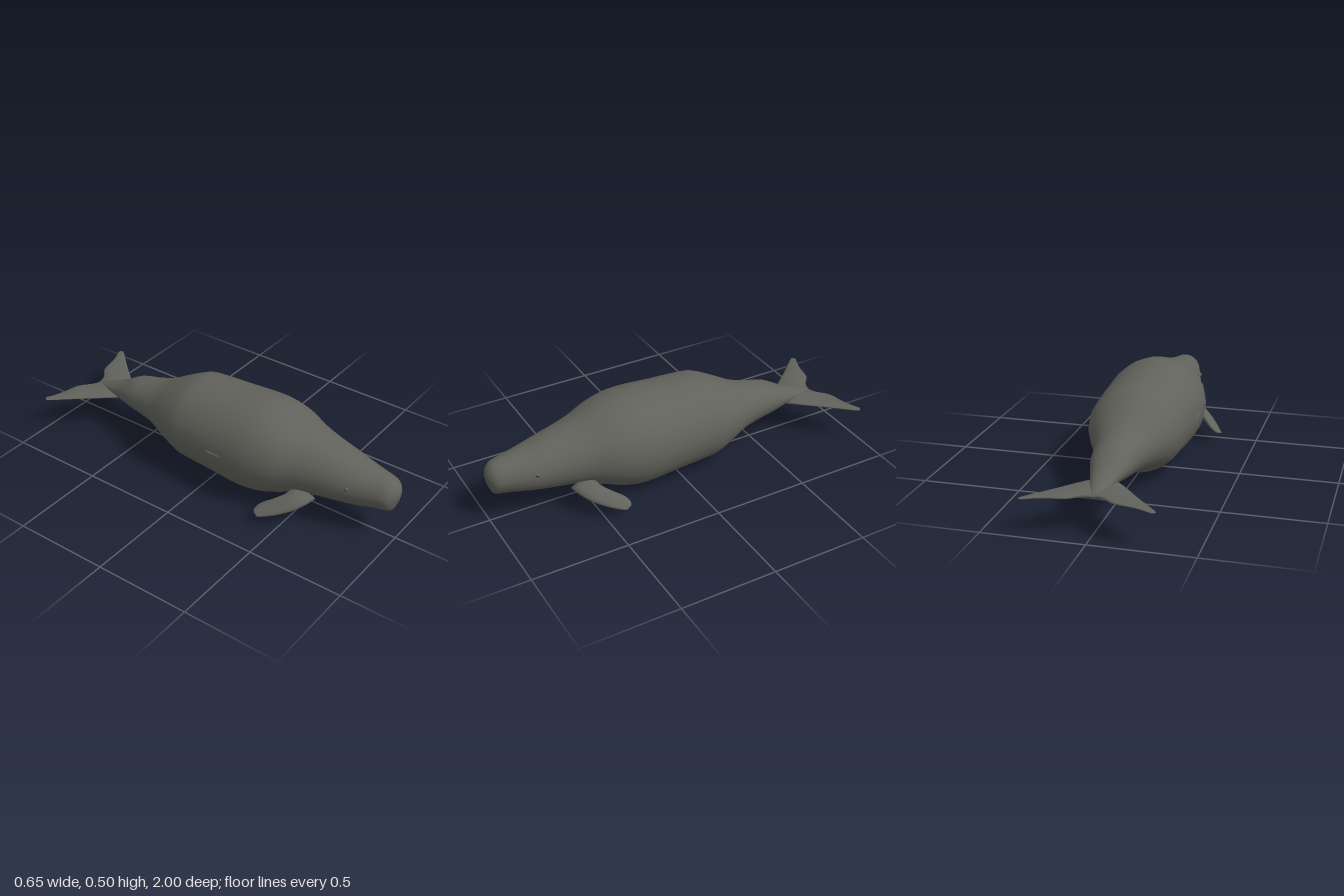
import * as THREE from 'three';

// Skin over rings of points, closed with a fan at each end; always wound outwards
function loft(rings) {
  const n = rings[0].length, pos = [], idx = [];
  rings.forEach(r => r.forEach(p => pos.push(p.x, p.y, p.z)));
  for (let i = 0; i < rings.length - 1; i++) {
    for (let j = 0; j < n; j++) {
      const a = i * n + j, b = i * n + (j + 1) % n;
      idx.push(a, b, a + n, b, b + n, a + n);
    }
  }
  [0, rings.length - 1].forEach((i, end) => {
    const c = new THREE.Vector3();
    rings[i].forEach(p => c.addScaledVector(p, 1 / n));
    const k = pos.push(c.x, c.y, c.z) / 3 - 1;
    for (let j = 0; j < n; j++) {
      const a = i * n + j, b = i * n + (j + 1) % n;
      if (end) idx.push(a, b, k); else idx.push(b, a, k);
    }
  });
  // Signed volume tells whether the winding must be flipped
  let volume = 0;
  const P = i => new THREE.Vector3().fromArray(pos, i * 3);
  for (let i = 0; i < idx.length; i += 3) volume += P(idx[i]).dot(P(idx[i + 1]).cross(P(idx[i + 2])));
  if (volume < 0) idx.reverse();
  const g = new THREE.BufferGeometry();
  g.setAttribute('position', new THREE.Float32BufferAttribute(pos, 3));
  g.setIndex(idx);
  g.computeVertexNormals();
  return g;
}

// Evaluate smooth in-between rows of a table
function smoothRows(rows, steps) {
  const w = rows[0].length;
  const spline = new THREE.CubicInterpolant(rows.map((_, i) => i), rows.flat(), w, new Float32Array(w));
  const out = [];
  for (let i = 0; i <= (rows.length - 1) * steps; i++) out.push(Array.from(spline.evaluate(i / steps)));
  return out;
}

// Fin from rows of leading point, trailing point and half thickness
function fin(rows, normal, side) {
  return loft(smoothRows(rows, 3).map(([lx, ly, lz, tx, ty, tz, h]) => {
    const lead = new THREE.Vector3(lx, ly, lz), trail = new THREE.Vector3(tx, ty, tz);
    const ring = [];
    for (let j = 0; j < 16; j++) {
      const a = j / 16 * Math.PI * 2;
      const p = lead.clone().lerp(trail, 0.5 - Math.cos(a) / 2).addScaledVector(normal, Math.sin(a) * h);
      p.x *= side;
      ring.push(p);
    }
    return ring;
  }));
}

export function createModel() {
  const group = new THREE.Group();
  const skin = new THREE.MeshStandardMaterial({ color: 0x62625c });
  skin.name = 'grey skin';
  const dark = new THREE.MeshStandardMaterial({ color: 0x3c3c38 });
  dark.name = 'dark eye';
  const add = (geometry, material, name) => {
    const m = new THREE.Mesh(geometry, material);
    m.name = name;
    group.add(m);
    return m;
  };

  // Body: z, top, bottom, half width
  const profile = [
    [1.0, 0.27, 0.245, 0.012], [0.99, 0.298, 0.205, 0.042], [0.972, 0.322, 0.166, 0.068],
    [0.945, 0.335, 0.158, 0.082], [0.9, 0.343, 0.152, 0.093], [0.8, 0.36, 0.135, 0.12],
    [0.7, 0.385, 0.121, 0.142], [0.6, 0.408, 0.108, 0.162], [0.5, 0.435, 0.088, 0.19],
    [0.4, 0.472, 0.048, 0.232], [0.3, 0.497, 0.012, 0.256], [0.2, 0.5, 0.002, 0.263],
    [0.05, 0.49, 0.015, 0.256], [-0.12, 0.483, 0.024, 0.245], [-0.2, 0.468, 0.036, 0.236],
    [-0.3, 0.418, 0.078, 0.2], [-0.4, 0.364, 0.11, 0.15], [-0.5, 0.335, 0.126, 0.12],
    [-0.6, 0.31, 0.142, 0.102], [-0.7, 0.255, 0.16, 0.07], [-0.8, 0.215, 0.166, 0.042],
    [-0.865, 0.192, 0.168, 0.018], [-0.88, 0.184, 0.176, 0.006],
  ];
  const bodyRings = smoothRows(profile, 3).map(([z, top, bottom, w]) => {
    const trunk = THREE.MathUtils.smoothstep(w, 0.15, 0.22);
    const ring = [];
    for (let j = 0; j < 36; j++) {
      const a = (j + 1) / 36 * Math.PI * 2;
      // Broad flat facets round the trunk, round head and tail
      const r = j % 2 ? 1 - 0.012 * trunk : 1;
      // Chin is narrower than the forehead
      const chin = Math.cos(a) < 0 ? 1 + 0.14 * Math.cos(a) * THREE.MathUtils.smoothstep(z, 0.75, 0.95) : 1;
      ring.push(new THREE.Vector3(
        Math.sin(a) * w * r * chin,
        (top + bottom) / 2 + Math.cos(a) * (top - bottom) / 2 * (j % 2 ? 1 - 0.004 * trunk : 1),
        z));
    }
    return ring;
  });
  add(loft(bodyRings), skin, 'body');

  // Flipper and tail fluke sections, root to tip
  const flipper = [
    [0.12, 0.135, 0.615, 0.12, 0.155, 0.49, 0.03],
    [0.18, 0.125, 0.595, 0.18, 0.142, 0.48, 0.026],
    [0.235, 0.1, 0.55, 0.225, 0.122, 0.44, 0.02],
    [0.285, 0.076, 0.485, 0.262, 0.1, 0.395, 0.014],
    [0.317, 0.062, 0.428, 0.295, 0.08, 0.378, 0.009],
    [0.326, 0.064, 0.415, 0.313, 0.07, 0.385, 0.003],
  ];
  const fluke = [
    [0, 0.18, -0.63, 0, 0.18, -0.88, 0.018],
    [0.055, 0.182, -0.685, 0.05, 0.184, -0.895, 0.016],
    [0.11, 0.184, -0.742, 0.11, 0.186, -0.943, 0.011],
    [0.2, 0.184, -0.85, 0.2, 0.187, -0.962, 0.008],
    [0.27, 0.185, -0.928, 0.265, 0.187, -0.985, 0.005],
    [0.305, 0.185, -0.968, 0.295, 0.187, -1.0, 0.003],
    [0.315, 0.186, -0.982, 0.31, 0.187, -0.993, 0.001],
  ];
  const flipperNormal = new THREE.Vector3(0.45, 0.88, 0.1).normalize();
  const up = new THREE.Vector3(0, 1, 0);
  for (const [side, label] of [[1, 'left'], [-1, 'right']]) {
    add(fin(flipper, flipperNormal, side), skin, label + 'Flipper');
    add(fin(fluke, up, side), skin, label + 'Fluke');
    // Eye set into a small lid
    const lid = add(new THREE.SphereGeometry(0.011, 16, 10), skin, label + 'Eyelid');
    lid.position.set(side * 0.12, 0.27, 0.78);
    const eye = add(new THREE.SphereGeometry(0.007, 12, 8), dark, label + 'Eye');
    eye.position.set(side * 0.126, 0.27, 0.782);
  }

  // Small skin fold on the right flank
  const fold = add(new THREE.SphereGeometry(1, 12, 8), skin, 'flankFold');
  fold.scale.set(0.006, 0.004, 0.05);
  fold.position.set(-0.257, 0.26, 0.1);
  return group;
}
